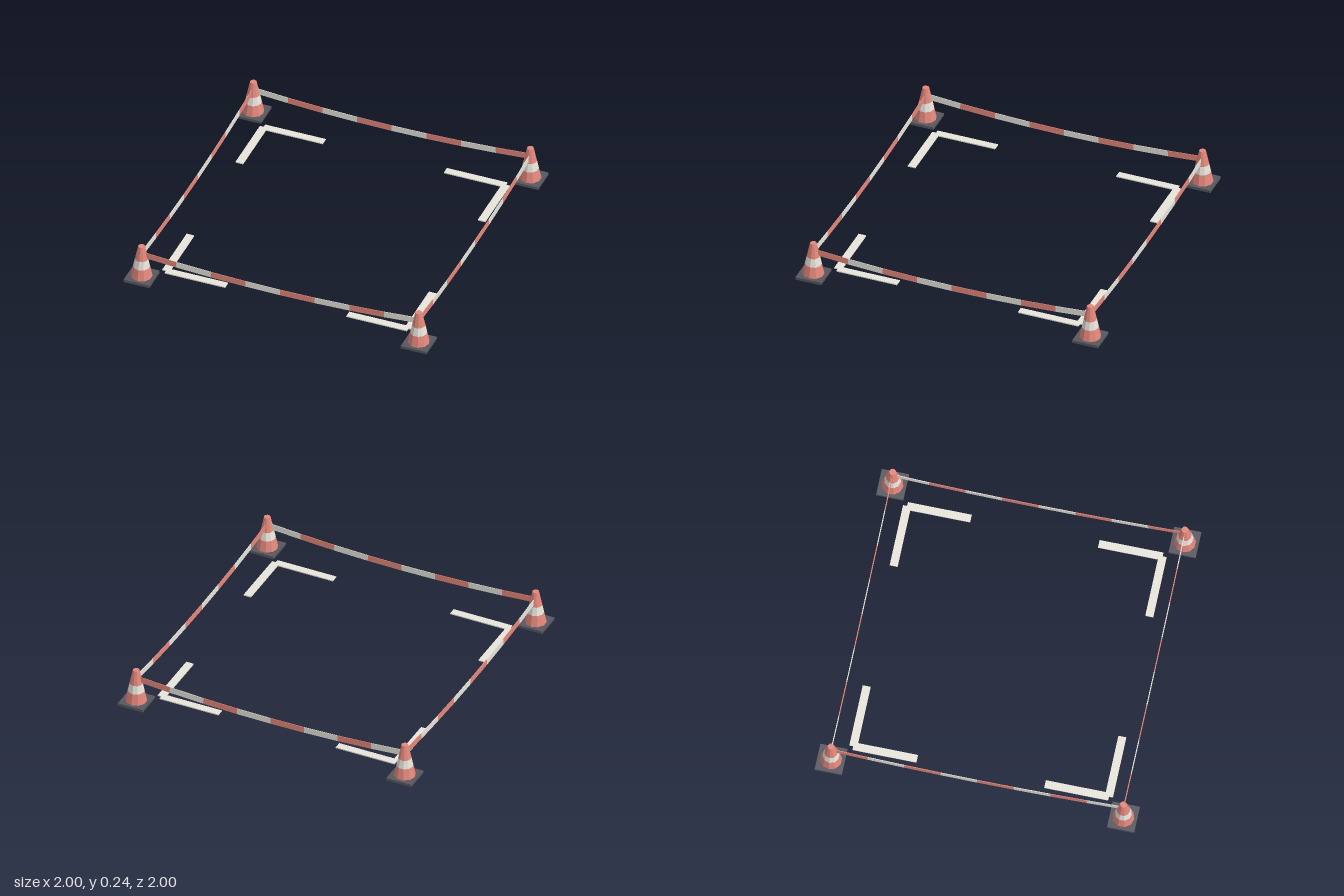
import * as THREE from 'three';

const mat = (name, color) => {
  const m = new THREE.MeshStandardMaterial({ color });
  m.name = name;
  return m;
};

export function createModel() {
  const red = mat('signalRed', 0xe4877b);
  const white = mat('offWhite', 0xe8e5dc);
  const dark = mat('darkRubber', 0x57575e);
  red.flatShading = white.flatShading = true;

  const root = new THREE.Group();
  root.name = 'barrierSquare';
  const add = (parent, name, geo, material, x, y, z) => {
    const mesh = new THREE.Mesh(geo, material);
    mesh.name = name;
    mesh.position.set(x, y, z);
    parent.add(mesh);
    return mesh;
  };

  const C = 0.915;                       // cone centre distance from the axes
  const BASE = 0.018, TOP = 0.24;        // cone body from base plate to tip
  const radius = y => THREE.MathUtils.mapLinear(y, BASE, TOP, 0.068, 0.021);
  const bands = [
    ['coneFoot', BASE, 0.09, red],
    ['coneBand', 0.09, 0.145, white],
    ['coneTip', 0.145, TOP, red],
  ];

  // One side of the square, repeated by quarter turns
  for (let q = 0; q < 4; q++) {
    const side = new THREE.Group();
    side.name = 'side' + (q + 1);
    side.rotation.y = q * Math.PI / 2;
    root.add(side);

    // Traffic cone on a square plate
    const cone = new THREE.Group();
    cone.name = 'cone';
    cone.position.set(-C, 0, C);
    side.add(cone);
    add(cone, 'conePlate', new THREE.BoxGeometry(0.17, BASE, 0.17), dark, 0, BASE / 2, 0);
    for (const [name, y0, y1, m] of bands) {
      const geo = new THREE.CylinderGeometry(radius(y1), radius(y0), y1 - y0, 10, 1, name !== 'coneTip');
      add(cone, name, geo, m, 0, (y0 + y1) / 2, 0);
    }

    // Sagging tape in eight alternating straight pieces
    const N = 8;
    const sag = x => 0.138 + 0.039 * (x / C) ** 2;
    for (let i = 0; i < N; i++) {
      const x0 = -C + 2 * C * i / N, x1 = -C + 2 * C * (i + 1) / N;
      const y0 = sag(x0), y1 = sag(x1);
      const geo = new THREE.BoxGeometry(Math.hypot(x1 - x0, y1 - y0), 0.04, 0.004);
      const piece = add(side, 'tapePiece', geo, i % 2 ? white : red, (x0 + x1) / 2, (y0 + y1) / 2, C);
      piece.rotation.z = Math.atan2(y1 - y0, x1 - x0);
    }

    // L-shaped floor marking inside the corner
    add(side, 'floorMarkAcross', new THREE.BoxGeometry(0.4, 0.007, 0.05), white, -0.6, 0.0035, 0.8);
    add(side, 'floorMarkAlong', new THREE.BoxGeometry(0.05, 0.007, 0.4), white, -0.8, 0.0035, 0.6);
  }
  return root;
}
